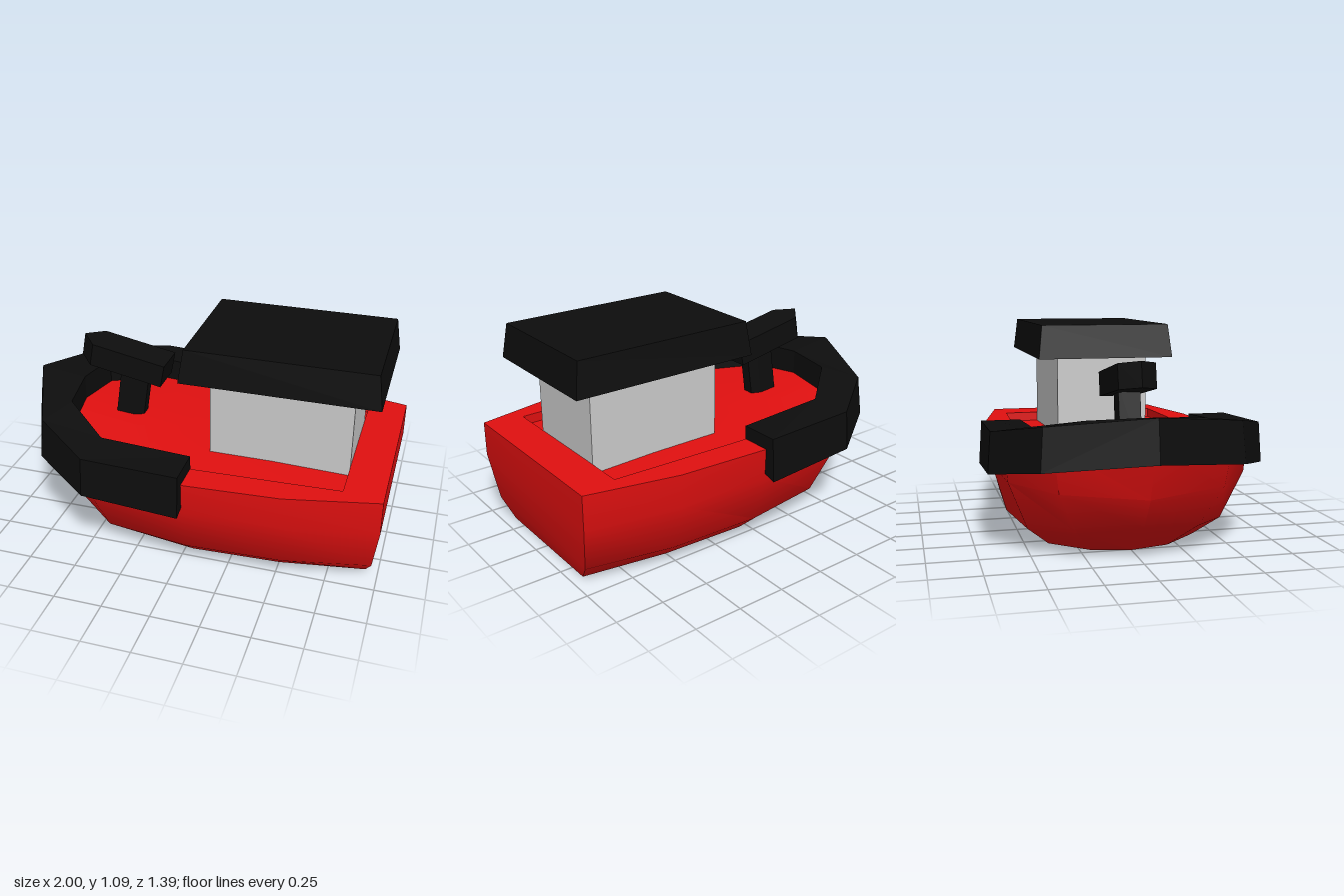
import * as THREE from 'three';
import { toCreasedNormals } from 'three/addons/utils/BufferGeometryUtils.js';

const material = (color, flatShading = false) => new THREE.MeshStandardMaterial({ color, flatShading });

// Skin over closed rings of [x, y, z] points, with a fan cap on both ends
function loft(rings) {
  const n = rings[0].length;
  const points = rings.flat();
  const index = [];
  for (let r = 0; r < rings.length - 1; r++) {
    for (let k = 0; k < n; k++) {
      const a = r * n + k, b = r * n + (k + 1) % n;
      index.push(a, a + n, b + n, a, b + n, b);
    }
  }
  [[0, false], [rings.length - 1, true]].forEach(([r, flip]) => {
    const centre = points.length;
    points.push([0, 1, 2].map((i) => rings[r].reduce((s, p) => s + p[i], 0) / n));
    for (let k = 0; k < n; k++) {
      const a = r * n + k, b = r * n + (k + 1) % n;
      index.push(centre, flip ? b : a, flip ? a : b);
    }
  });
  const geometry = new THREE.BufferGeometry();
  geometry.setAttribute('position', new THREE.Float32BufferAttribute(points.flat(), 3));
  geometry.setIndex(index);
  geometry.computeVertexNormals();
  return geometry;
}

// Half outline from stern to bow, mirrored across the keel; the bow point is shared
const mirrored = (half) => [
  ...half,
  ...half.slice(0, -1).reverse().map(([x, y, z]) => [x, y, -z]),
];

// Horizontal outline [x, z] placed at one height
const level = (outline, y, dx = 0) => outline.map(([x, z]) => [x + dx, y, z]);

// Rectangle in ring order
const rectangle = (x0, x1, z0, z1) => [[x1, z1], [x0, z1], [x0, z0], [x1, z0]];

export function createModel() {
  const model = new THREE.Group();
  const red = material(0xe01010);
  const black = material(0x0d0d0d, true);
  const grey = material(0xcccccc, true);
  const add = (name, geometry, mat) => {
    const mesh = new THREE.Mesh(geometry, mat);
    mesh.name = name;
    model.add(mesh);
    return mesh;
  };

  // Hull: waterlines from keel to rim, then the rim and the sunken deck
  const rim = [[0.8, 0.45], [0.53, 0.46], [0.04, 0.475], [-0.43, 0.48], [-0.685, 0.27], [-0.73, 0]];
  const onRim = (heights) => rim.map(([x, z], i) => [x, heights[i], z]);
  const waterlines = [
    [[0.935, 0, 0.35], [0.5, 0, 0.42], [0.04, 0, 0.44], [-0.3, 0, 0.38], [-0.46, 0, 0.2], [-0.51, 0, 0]],
    [[0.97, 0.1, 0.44], [0.53, 0.1, 0.53], [0.04, 0.1, 0.55], [-0.4, 0.11, 0.5], [-0.64, 0.14, 0.3], [-0.74, 0.17, 0]],
    [[1, 0.34, 0.5], [0.53, 0.35, 0.595], [0.04, 0.36, 0.625], [-0.46, 0.36, 0.6], [-0.73, 0.35, 0.4], [-0.85, 0.33, 0]],
    [[1, 0.52, 0.5], [0.53, 0.52, 0.6], [0.04, 0.52, 0.628], [-0.46, 0.54, 0.62], [-0.76, 0.58, 0.43], [-0.935, 0.6, 0]],
    onRim([0.52, 0.52, 0.52, 0.54, 0.58, 0.6]),
    onRim([0.47, 0.47, 0.47, 0.5, 0.54, 0.56]),
  ];
  add('hull', toCreasedNormals(loft(waterlines.map(mirrored)), 0.62), red);

  // Bow fender: four-cornered sections swept round the bow
  const sections = [
    [[0.04, 0.365, 0.69], [0.04, 0.44, 0.47], [0.04, 0.59, 0.47], [0.04, 0.59, 0.675]],
    [[-0.46, 0.405, 0.695], [-0.43, 0.46, 0.475], [-0.43, 0.62, 0.475], [-0.455, 0.61, 0.68]],
    [[-0.77, 0.46, 0.49], [-0.68, 0.5, 0.265], [-0.68, 0.68, 0.265], [-0.75, 0.668, 0.475]],
    [[-1, 0.52, 0], [-0.72, 0.52, 0], [-0.72, 0.69, 0], [-0.97, 0.725, 0]],
  ];
  const otherSide = sections.slice(0, -1).reverse().map((s) => s.map(([x, y, z]) => [x, y, -z]));
  add('bowFender', loft([...sections, ...otherSide]), black);

  // Cabin with an overhanging, slightly tapered roof
  add('cabin', loft([0.46, 0.93].map((y) => level(rectangle(0.07, 0.8, -0.26, 0.23), y))), grey);
  add('roof', loft([
    level(rectangle(-0.065, 0.935, -0.38, 0.34), 0.915),
    level(rectangle(-0.04, 0.91, -0.36, 0.32), 1.09),
  ]), black);

  // Deck gun-style nozzle: leaning post and pointed, tilted beam
  const post = [[-0.33, 0.025], [-0.38, 0.05], [-0.48, 0.05], [-0.48, -0.06], [-0.38, -0.06], [-0.33, -0.035]];
  add('nozzlePost', loft([level(post, 0.45, -0.05), level(post, 0.82, 0.005)]), black);

  const beam = [[0.243, 0.093], [-0.16, 0.093], [-0.243, 0], [-0.16, -0.093], [0.243, -0.093]];
  const nozzle = add('nozzleBeam', loft([level(beam, -0.062), level(beam, 0.062)]), black);
  nozzle.position.set(-0.475, 0.845, -0.007);
  nozzle.rotation.z = -0.19;

  return model;
}
